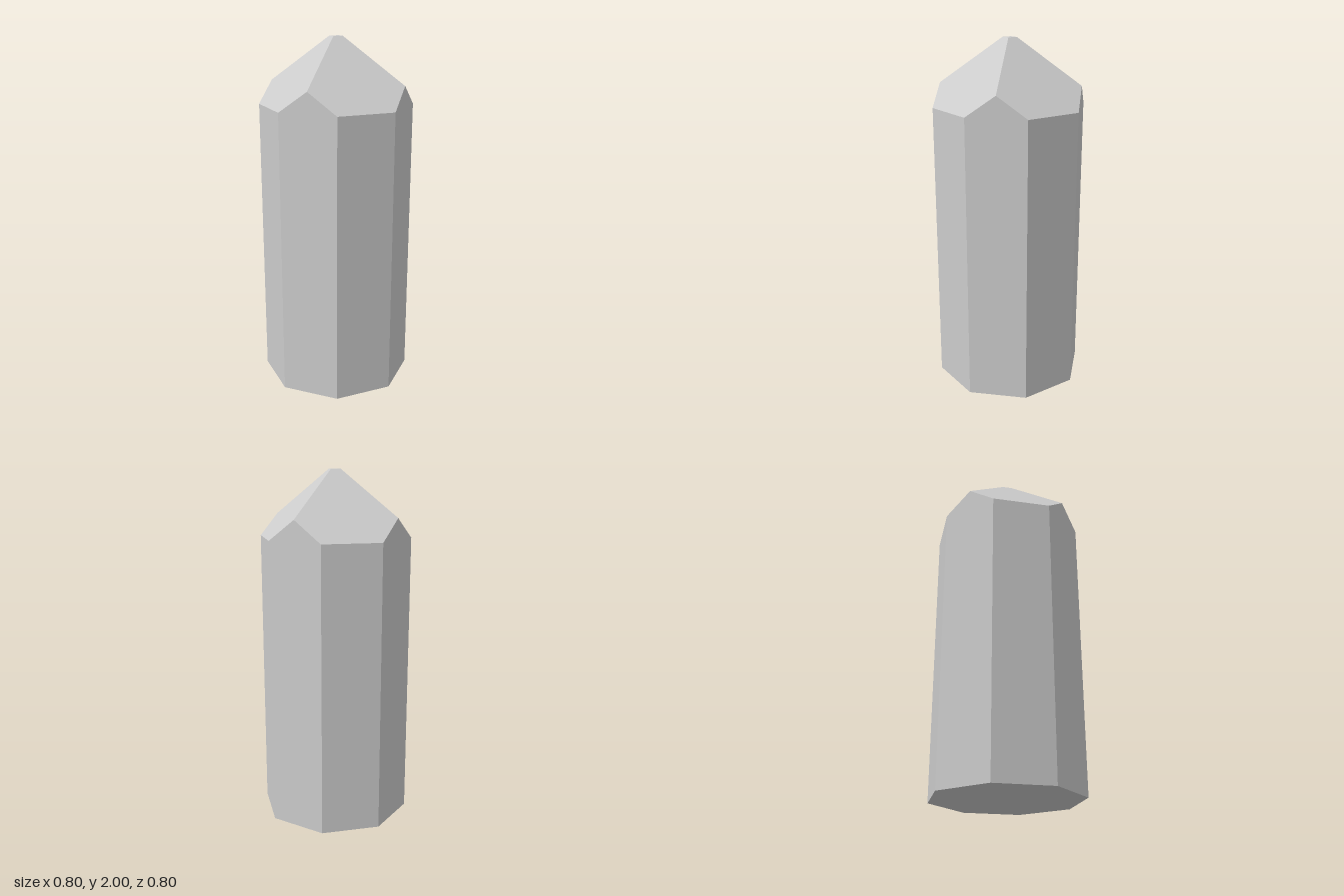
import * as THREE from 'three';
import { ConvexGeometry } from 'three/addons/geometries/ConvexGeometry.js';

const HEIGHT = 2;
const APOTHEM = 0.4; // centre to each flat of the octagonal shaft
const TIP = 0.028;   // half width of the small flat on top

// Height of the four-sided 45 degree point above (x, z)
const roofY = (x, z) => HEIGHT - (Math.max(Math.abs(x), Math.abs(z)) - TIP);

export function createModel() {
  const group = new THREE.Group();
  group.name = 'crystal';

  const points = [];
  const radius = APOTHEM / Math.cos(Math.PI / 8);

  // Octagonal shaft: base corner and shoulder corner
  for (let i = 0; i < 8; i++) {
    const a = Math.PI / 8 + i * Math.PI / 4;
    const x = radius * Math.cos(a), z = radius * Math.sin(a);
    points.push(new THREE.Vector3(x, 0, z), new THREE.Vector3(x, roofY(x, z), z));
  }

  // Ridges of the point: peak of each diagonal side and corner of the flat tip
  const d = APOTHEM * Math.SQRT1_2;
  for (const sx of [-1, 1]) {
    for (const sz of [-1, 1]) {
      points.push(
        new THREE.Vector3(sx * d, roofY(d, d), sz * d),
        new THREE.Vector3(sx * TIP, HEIGHT, sz * TIP)
      );
    }
  }

  const material = new THREE.MeshStandardMaterial({ color: 0xcccccc, flatShading: true });
  const shaft = new THREE.Mesh(new ConvexGeometry(points), material);
  shaft.name = 'crystalShaft';
  group.add(shaft);
  return group;
}
